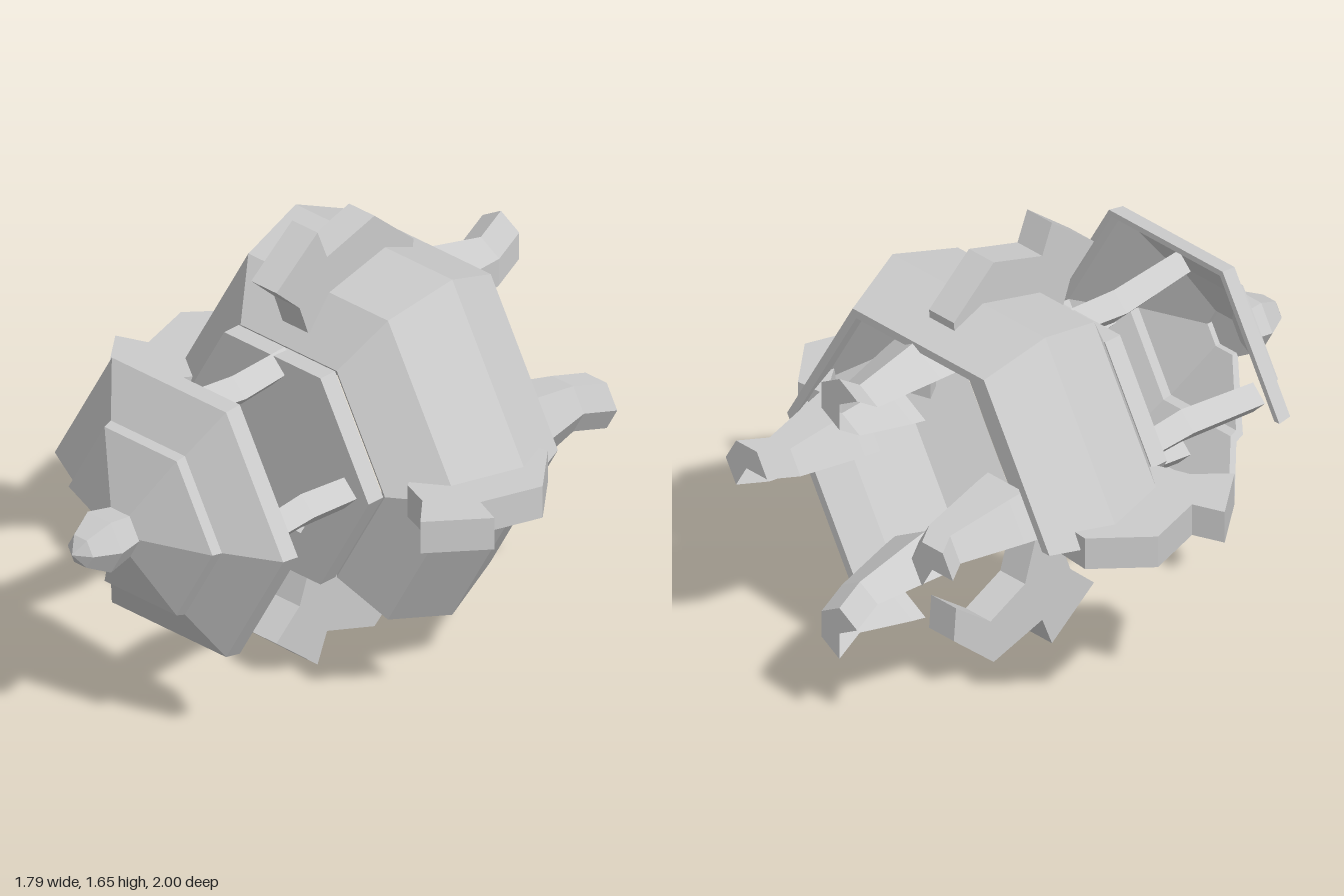
import * as THREE from 'three';
import { mergeGeometries } from 'three/addons/utils/BufferGeometryUtils.js';

const material = new THREE.MeshStandardMaterial({
  color: 0xcccccc, flatShading: true, side: THREE.DoubleSide,
});
const DEG = Math.PI / 180;
const AXIS_Y = 0.826;

function add(parent, name, geometry) {
  const mesh = new THREE.Mesh(geometry, material);
  mesh.name = name;
  parent.add(mesh);
  return mesh;
}

// Hexagonal shell around the z axis: a closed [radius, z] profile swept over
// part of the hexagon, with the cut ends capped.
function hexShell(profile, startDeg, sectors) {
  const pts = profile.map(([r, z]) => new THREE.Vector2(r, z));
  const start = (startDeg + 90) * DEG;
  const sweep = sectors * 60 * DEG;
  const parts = [new THREE.LatheGeometry([...pts, pts[0].clone()], sectors, start, sweep)];
  if (sectors < 6) {
    for (const phi of [start, start + sweep]) {
      parts.push(new THREE.ShapeGeometry(new THREE.Shape(pts)).rotateY(phi - Math.PI / 2));
    }
  }
  return mergeGeometries(parts).rotateX(Math.PI / 2);
}

// Bent bar along z; stations are [z, section radius, distance from axis].
function bentBar(stations, sides, startDeg = 0, sweepDeg = 360) {
  const geo = new THREE.LatheGeometry(
    stations.map(([z, r]) => new THREE.Vector2(r, z)),
    sides, (startDeg + 90) * DEG, sweepDeg * DEG);
  geo.rotateX(Math.PI / 2);
  const p = geo.attributes.position;
  for (let i = 0; i < p.count; i++) p.setY(i, p.getY(i) + stations[i % stations.length][2]);
  return geo;
}

// Claw-shaped fin, drawn as (z, distance from axis) and extruded across.
function finGeometry() {
  const outline = [
    [0.09, 0.67], [-0.105, 0.826], [-0.15, 0.715], [-0.375, 0.785], [-0.56, 0.625],
    [-0.55, 0.5], [-0.39, 0.62], [-0.23, 0.54], [-0.18, 0.38], [-0.06, 0.46], [-0.02, 0.57],
  ];
  const shape = new THREE.Shape(outline.map(([z, r]) => new THREE.Vector2(-z, r)));
  return new THREE.ExtrudeGeometry(shape, { depth: 0.12, bevelEnabled: false })
    .translate(0, 0, -0.06).rotateY(Math.PI / 2);
}

export function createModel() {
  const model = new THREE.Group();
  model.name = 'model';
  const core = new THREE.Group();
  core.name = 'core';
  core.position.y = AXIS_Y;
  model.add(core);

  // Nose gem
  add(core, 'nose', new THREE.LatheGeometry(
    [[0, 0.77], [0.09, 0.77], [0.11, 0.87], [0.06, 0.96], [0, 1]]
      .map(([r, z]) => new THREE.Vector2(r, z)), 6, Math.PI / 2).rotateX(Math.PI / 2));

  // Stepped front dome with one sector open
  add(core, 'frontDome', hexShell([
    [0.08, 0.775], [0.34, 0.675], [0.35, 0.64], [0.54, 0.54], [0.55, 0.48],
    [0.525, 0.48], [0.515, 0.525], [0.325, 0.625], [0.315, 0.655], [0.08, 0.75],
  ], -120, 5)).position.y = 0.004;

  // Collar and its closed centre
  add(core, 'collar', hexShell([[0.27, 0.05], [0.455, 0.05], [0.455, -0.02], [0.27, -0.02]], 0, 6));
  add(core, 'collarPlate', new THREE.CylinderGeometry(0.28, 0.28, 0.02, 6)
    .rotateY(Math.PI / 2).rotateX(Math.PI / 2));

  // Hollow barrel body with two lower sectors open
  add(core, 'bodyShell', hexShell([
    [0.455, -0.02], [0.66, -0.16], [0.74, -0.425], [0.635, -0.66],
    [0.6, -0.66], [0.7, -0.425], [0.625, -0.18], [0.42, -0.04],
  ], -60, 4)).position.set(0.008, 0.004, 0);

  // Struts, rear legs and fins, four of each around the axis
  const legs = new THREE.Group();
  legs.name = 'rearLegs';
  legs.position.x = 0.035;
  core.add(legs);
  const strut = bentBar([
    [-0.01, 0, 0.345], [-0.01, 0.058, 0.345], [0.24, 0.064, 0.325], [0.54, 0.058, 0.36], [0.54, 0, 0.36],
  ], 4);
  const legStations = [
    [-1, 0, 0.45], [-1, 0.1, 0.45], [-0.905, 0.1, 0.387], [-0.66, 0.158, 0.387], [-0.6, 0.17, 0.387],
  ];
  const fin = finGeometry();
  for (let i = 0; i < 4; i++) {
    const turn = i * 90;
    const side = i % 2 === 1;
    add(core, 'strut', strut).rotation.z = turn * DEG;
    // legs are hollow, with their lower faces open like the body
    const leg = bentBar(legStations, 4, (side ? 300 : 270) - turn, 240);
    add(legs, 'rearLeg', leg).rotation.z = turn * DEG;
    const f = add(core, 'fin', fin);
    f.rotation.z = turn * DEG;
    if (side) f.position.x = i === 1 ? -0.07 : 0.07; // side fins sit further out
  }
  return model;
}
